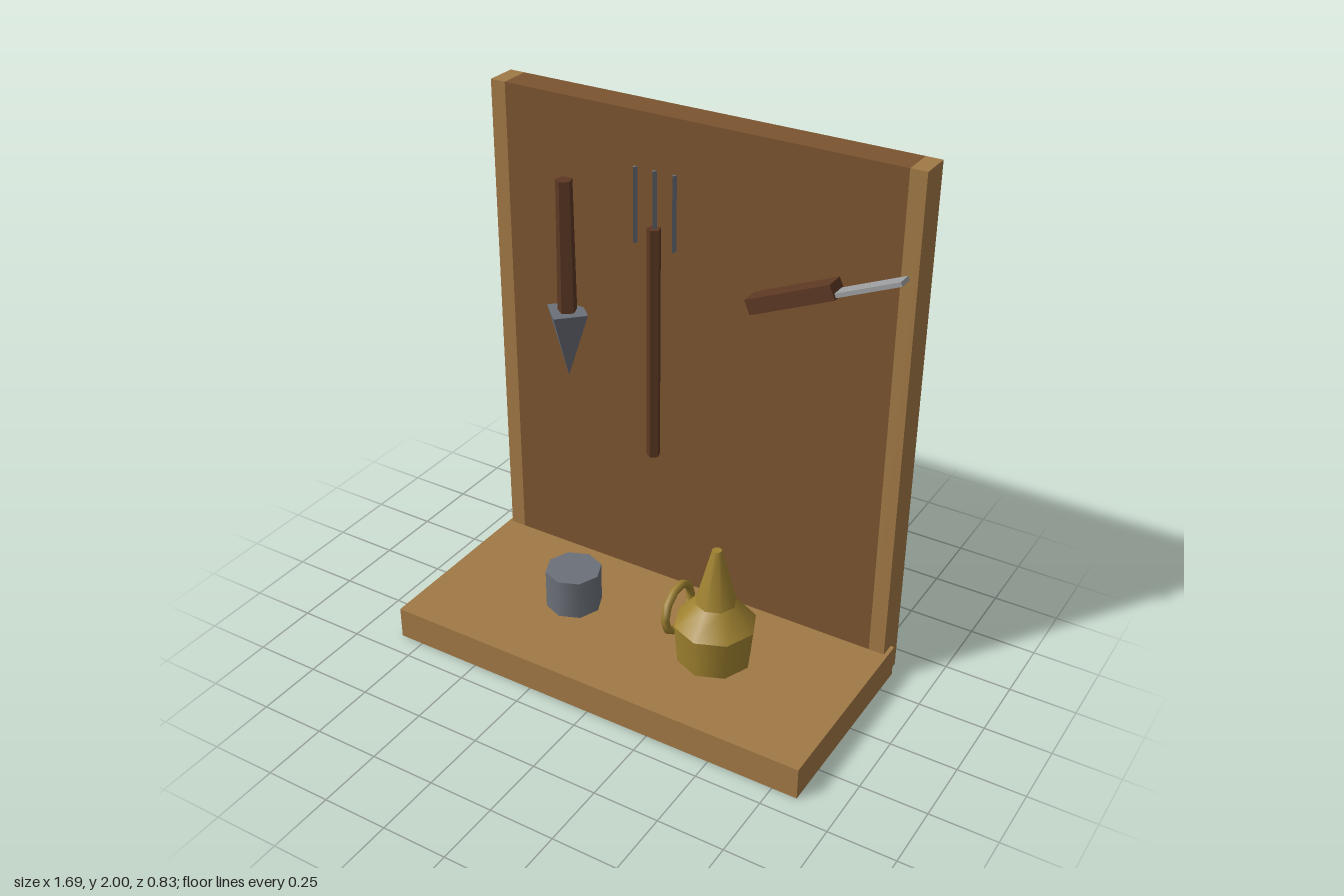
import * as THREE from 'three';

const mat = (color, flat = true) =>
  new THREE.MeshStandardMaterial({ color, flatShading: flat });

export function createModel() {
  const model = new THREE.Group();
  model.name = 'pottingBench';

  const wood = mat(0xa07845);
  const panelWood = mat(0x7b5430);
  const handleWood = mat(0x5c3823);
  const steel = mat(0x6b7078);
  const brightSteel = mat(0x9c9ea0);
  const potMetal = mat(0x6b7078, false);
  const brass = mat(0xa08230, false);

  const add = (parent, name, geometry, material, x, y, z) => {
    const mesh = new THREE.Mesh(geometry, material);
    mesh.name = name;
    mesh.position.set(x, y, z);
    parent.add(mesh);
    return mesh;
  };
  const group = (name, x, y, z) => {
    const g = new THREE.Group();
    g.name = name;
    g.position.set(x, y, z);
    model.add(g);
    return g;
  };
  const box = (w, h, d) => new THREE.BoxGeometry(w, h, d);
  // Tapered prism standing between two heights
  const prism = (parent, name, material, rTop, rBottom, y0, y1, sides, x = 0) =>
    add(parent, name, new THREE.CylinderGeometry(rTop, rBottom, y1 - y0, sides),
      material, x, (y0 + y1) / 2, 0);

  // Bench and back board with its side posts
  add(model, 'benchTop', box(1.69, 0.125, 0.77), wood, 0, 0.0625, 0.03);
  add(model, 'backPanel', box(1.54, 2, 0.12), panelWood, 0, 1, -0.355);
  for (const s of [-1, 1]) {
    add(model, s > 0 ? 'leftPost' : 'rightPost', box(0.06, 2, 0.12), wood, s * 0.8, 1, -0.355);
  }

  // Hanging trowel
  const trowel = group('trowel', -0.495, 0, -0.245);
  prism(trowel, 'trowelHandle', handleWood, 0.032, 0.038, 1.2, 1.71, 5);
  prism(trowel, 'trowelBlade', steel, 0.09, 0, 0.93, 1.2, 4);

  // Hanging three-pronged fork
  const fork = group('handFork', -0.125, 0, -0.245);
  prism(fork, 'forkHandle', handleWood, 0.026, 0.026, 0.7, 1.61, 5);
  for (const x of [-0.078, 0, 0.078]) {
    prism(fork, 'forkTine', steel, 0.01, 0.01, 1.54, 1.82, 3, x);
  }

  // Hanging knife, tilted upward to its tip
  const knife = group('knife', 0.573, 1.558, -0.248);
  knife.rotation.z = 0.41;
  add(knife, 'knifeHandle', box(0.338, 0.056, 0.076), handleWood, -0.169, 0, 0);
  add(knife, 'knifeBlade', box(0.25, 0.016, 0.056), brightSteel, 0.122, -0.015, 0);

  // Round pot on the bench
  const pot = group('pot', -0.31, 0, 0.028);
  prism(pot, 'potBody', potMetal, 0.107, 0.107, 0.125, 0.28, 8);

  // Watering can: body, shoulder, spout and ring handle
  const can = group('wateringCan', 0.305, 0, 0.031);
  prism(can, 'canBody', brass, 0.153, 0.139, 0.125, 0.28, 8);
  prism(can, 'canShoulder', brass, 0.077, 0.153, 0.28, 0.37, 8);
  prism(can, 'canSpout', brass, 0.018, 0.077, 0.37, 0.59, 8);
  const ring = add(can, 'canHandle', new THREE.TorusGeometry(0.092, 0.016, 6, 10), brass,
    -0.155, 0.281, 0);
  ring.rotation.y = Math.PI / 2;

  return model;
}
